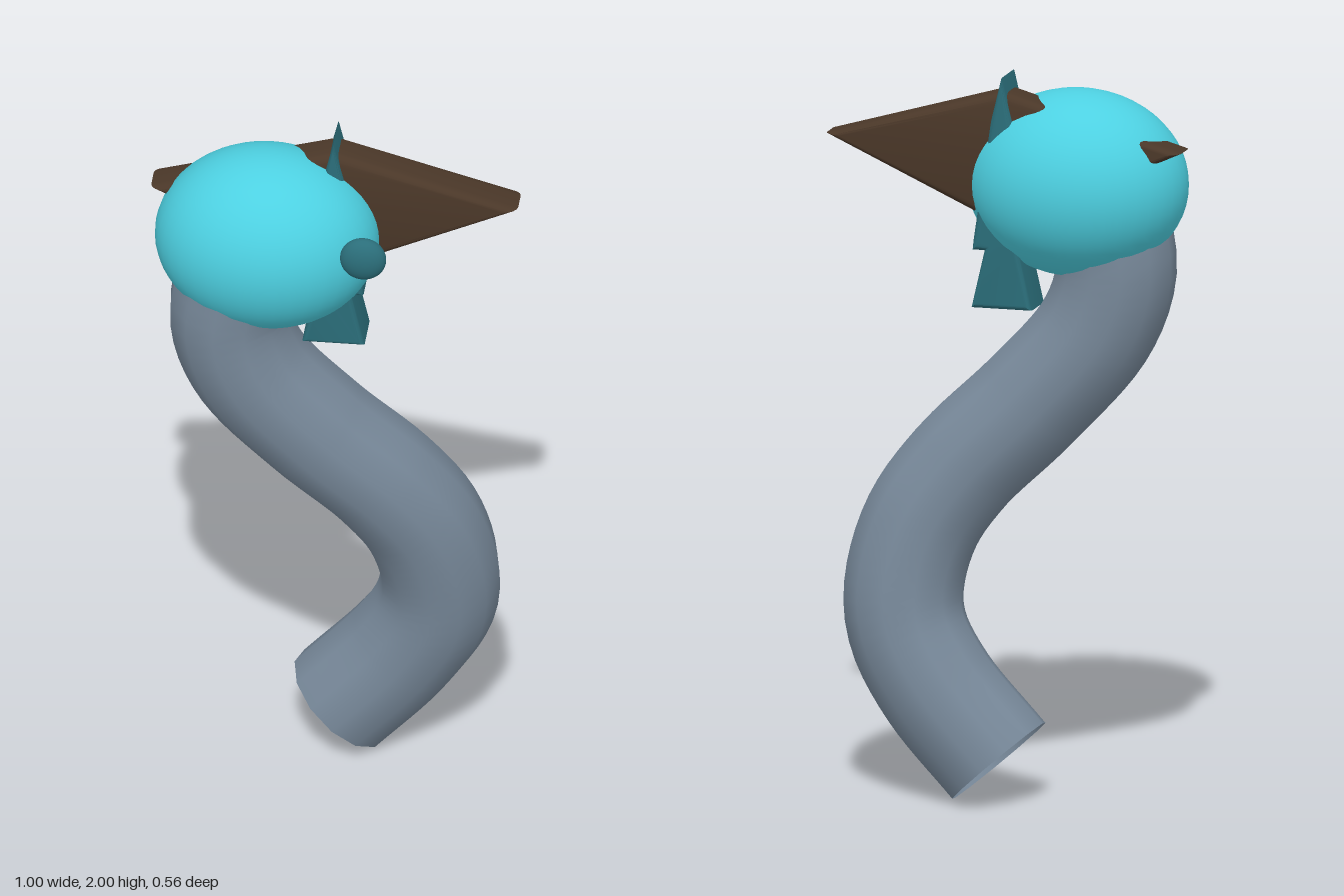
import * as THREE from 'three';
import { toCreasedNormals } from 'three/addons/utils/BufferGeometryUtils.js';

const material = (color, side = THREE.FrontSide) => new THREE.MeshStandardMaterial({ color, side });

function part(name, geometry, mat) {
  const mesh = new THREE.Mesh(geometry, mat);
  mesh.name = name;
  return mesh;
}

// Flat outline extruded from zBack to zFront with rounded edges kept inside the outline
function plate(points, zBack, zFront, bevel) {
  const shape = new THREE.Shape(points.map(([x, y]) => new THREE.Vector2(x, y)));
  const geometry = new THREE.ExtrudeGeometry(shape, {
    depth: zFront - zBack - 2 * bevel,
    bevelThickness: bevel, bevelSize: bevel, bevelOffset: -bevel, bevelSegments: 4,
  });
  geometry.translate(0, 0, zBack + bevel);
  return toCreasedNormals(geometry, 0.6);
}

function ellipsoid(name, center, radii, mat) {
  const mesh = part(name, new THREE.SphereGeometry(1, 40, 28), mat);
  mesh.position.set(...center);
  mesh.scale.set(...radii);
  return mesh;
}

export function createModel() {
  const group = new THREE.Group();
  const darkTeal = material(0x2b6e7a);

  // Curved neck, open at the bottom, ending inside the head
  const path = new THREE.CatmullRomCurve3([
    [0, 0.115, -0.115], [0.175, 0.31, -0.11], [0.262, 0.46, -0.095], [0.277, 0.58, -0.08],
    [0.235, 0.75, -0.05], [0.135, 0.9, -0.015], [-0.05, 1.085, 0.025],
    [-0.225, 1.29, 0.053], [-0.28, 1.45, 0.06], [-0.26, 1.6, 0.06],
  ].map((p) => new THREE.Vector3(...p)));
  group.add(part('neck', new THREE.TubeGeometry(path, 48, 0.165, 12), material(0x778899, THREE.DoubleSide)));

  // Head and the single eye
  group.add(ellipsoid('head', [-0.18, 1.698, 0.035], [0.305, 0.257, 0.246], material(0x4dd0e1)));
  group.add(ellipsoid('eye', [0.1, 1.745, 0.195], [0.063, 0.063, 0.035], darkTeal));

  // Kite-shaped beak running through the head
  const beak = [[-0.5, 1.815], [0, 1.585], [0.5, 1.815], [0, 1.96]];
  group.add(part('beak', plate(beak, -0.087, 0.028, 0.028), material(0x4a3728)));

  // Crest spike that widens downward, with a flared wattle beneath it
  const half = [[0.085, 1.36], [0.048, 1.52], [0.082, 1.52], [0.079, 1.55], [0.03, 1.88]];
  const crest = [...half, [0, 2], ...half.map(([x, y]) => [-x, y]).reverse()];
  group.add(part('crestAndWattle', plate(crest, -0.1, 0.043, 0.016), darkTeal));

  return group;
}
